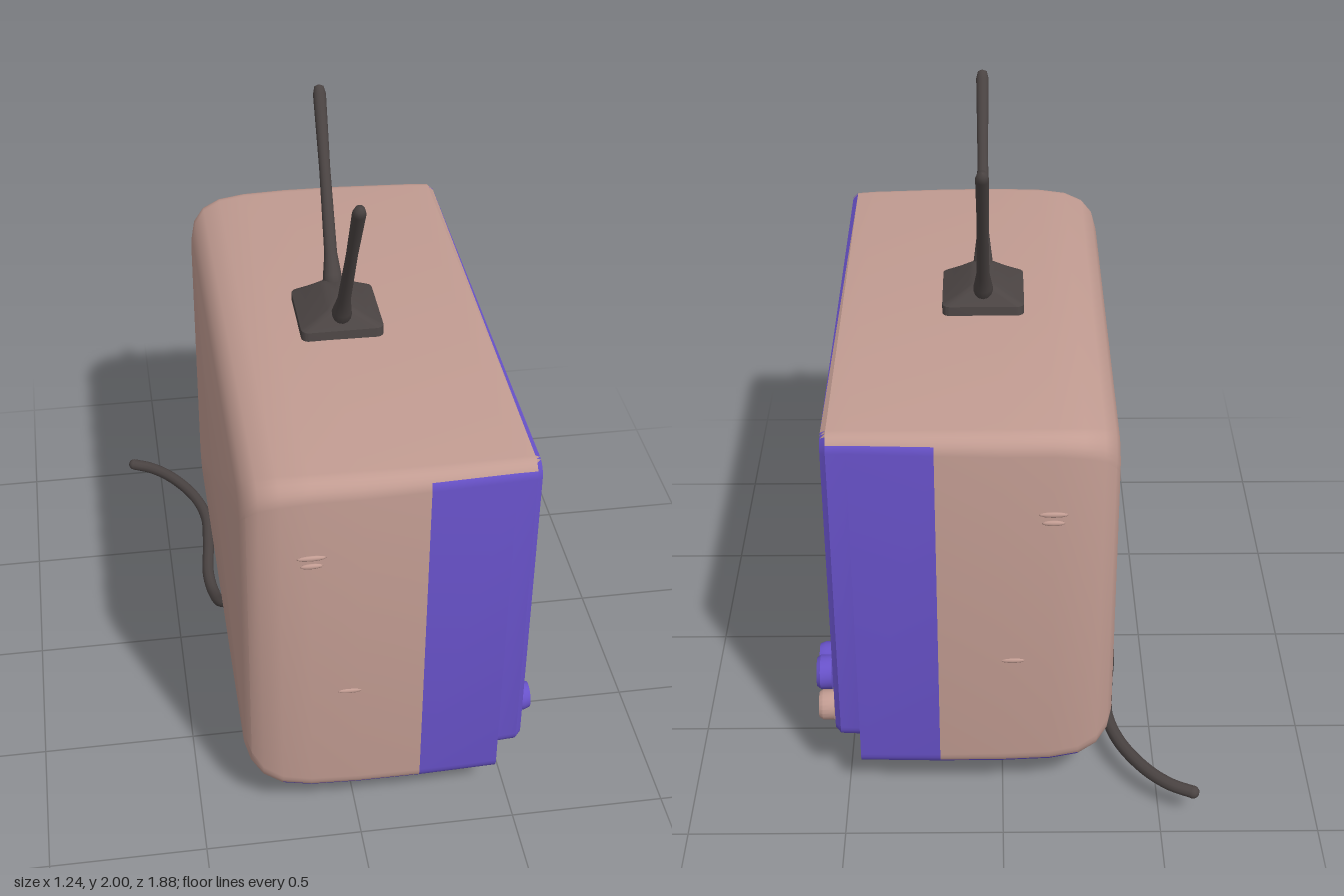
import * as THREE from 'three';
import { toCreasedNormals } from 'three/addons/utils/BufferGeometryUtils.js';

const material = (name, color) => {
  const m = new THREE.MeshStandardMaterial({ color });
  m.name = name;
  return m;
};

// Rounded rectangle in the z-y plane, spanning y0..y1 around z = zc
function roundedRing({ x, hw, y0, y1, r, zc = 0.045 }) {
  const pts = [], n = 6;
  [[1, 1], [-1, 1], [-1, -1], [1, -1]].forEach(([sz, sy], q) => {
    for (let i = 0; i <= n; i++) {
      const t = (q + i / n) * Math.PI / 2;
      pts.push(new THREE.Vector3(x, (sy > 0 ? y1 - r : y0 + r) + r * Math.sin(t),
        zc + sz * (hw - r) + r * Math.cos(t)));
    }
  });
  return pts;
}

// Soft, bulging screen outline
function screenRing(x, hw, hh) {
  const pts = [], n = 72, p = 2 / 6.5;
  for (let i = 0; i < n; i++) {
    const t = i / n * Math.PI * 2, c = Math.cos(t), s = Math.sin(t);
    pts.push(new THREE.Vector3(x, 0.785 + hh * Math.sign(s) * Math.abs(s) ** p,
      0.155 + hw * Math.sign(c) * Math.abs(c) ** p));
  }
  return pts;
}

// Skin a list of rings running towards +x; pick() chooses a material per face
function loft(rings, crease, pick = () => 0) {
  const lists = [[], []], count = rings[0].length, nrm = new THREE.Vector3();
  for (let i = 0; i < rings.length - 1; i++) {
    for (let j = 0; j < count; j++) {
      const k = (j + 1) % count;
      const a = rings[i][j], b = rings[i][k], c = rings[i + 1][k], d = rings[i + 1][j];
      for (const tri of [[a, d, c], [a, c, b]]) {
        new THREE.Triangle(...tri).getNormal(nrm);
        if (nrm.lengthSq() < 0.5) continue;
        const cx = (tri[0].x + tri[1].x + tri[2].x) / 3;
        tri.forEach(v => lists[pick(cx, nrm)].push(v.x, v.y, v.z));
      }
    }
  }
  const g = new THREE.BufferGeometry();
  g.setAttribute('position', new THREE.Float32BufferAttribute(lists[0].concat(lists[1]), 3));
  g.addGroup(0, lists[0].length / 3, 0);
  if (lists[1].length) g.addGroup(lists[0].length / 3, lists[1].length / 3, 1);
  return toCreasedNormals(g, crease);
}

export function createModel() {
  const pink = material('dusty pink', 0xc29c92);
  const purple = material('violet', 0x6852c9);
  const dark = material('charcoal', 0x4b4443);
  const glass = material('screen grey', 0x4a4341);
  const mauve = material('mauve', 0x75619f);

  const model = new THREE.Group();
  const add = (name, geo, mat, x = 0, y = 0, z = 0, parent = model) => {
    const m = new THREE.Mesh(geo, mat);
    m.name = name;
    m.position.set(x, y, z);
    parent.add(m);
    return m;
  };

  // Cabinet: x, half width, bottom, top, corner radius; ends in the recessed front panel
  const sections = [
    [-0.362, 0, 0.77, 0.77, 0], [-0.35, 0.78, 0.23, 1.27, 0.08], [-0.335, 0.825, 0.2, 1.315, 0.08],
    [-0.3, 0.852, 0.165, 1.345, 0.07], [-0.24, 0.872, 0.14, 1.363, 0.065], [-0.15, 0.88, 0.13, 1.37, 0.06],
    [0, 0.885, 0.127, 1.372, 0.06], [0.2, 0.881, 0.125, 1.37, 0.055], [0.455, 0.868, 0.122, 1.366, 0.05],
    [0.455, 0.868, 0.232, 1.366, 0.05], [0.515, 0.864, 0.232, 1.363, 0.05], [0.532, 0.85, 0.245, 1.35, 0.045],
    [0.535, 0.81, 0.268, 1.318, 0.045], [0.512, 0.785, 0.29, 1.29, 0.04], [0.512, 0, 0.77, 0.77, 0],
  ].map(([x, hw, y0, y1, r]) => roundedRing({ x, hw, y0, y1, r }));
  const paint = (x, n) => {
    if (n.y < -0.6) return 1;
    if (n.y > 0.6 && x < 0.522) return 0;
    return x > 0.2 ? 1 : 0;
  };
  add('cabinet', loft(sections, 0.6, paint), [pink, purple]);
  add('lowerStripPanel', new THREE.BoxGeometry(0.006, 0.06, 0.52), mauve, 0.456, 0.165, -0.42);

  // Dark surround and domed screen
  add('screenSurround', loft([
    screenRing(0.5, 0.64, 0.48), screenRing(0.522, 0.635, 0.475),
    screenRing(0.526, 0.62, 0.462), screenRing(0.508, 0.59, 0.438),
  ], 0.5), dark);
  const dome = [1.01, 0.95, 0.85, 0.7, 0.5, 0.25, 0].map(s => screenRing(0.577 - 0.07 * s * s, 0.595 * s, 0.442 * s));
  add('screen', loft(dome, 0.8), glass);

  // Speaker grille: slats in two banks, narrower near the control knob
  const grille = new THREE.Group();
  grille.name = 'speakerGrille';
  model.add(grille);
  for (let i = 0; i < 29; i++) {
    const y = 0.34 + i * 0.0335;
    const low = y < 0.45;
    add('slat', new THREE.BoxGeometry(0.018, 0.019, low ? 0.055 : 0.19), purple,
      0.517, y, low ? -0.762 : -0.692, grille);
  }

  // Knobs on the front, turned to face +x
  const knob = (name, y, z, x0, x1, r, mat) => {
    const len = x1 - x0;
    const profile = [[0, 0], [r * 0.55, 0], [r * 0.6, len * 0.45], [r, len * 0.5],
      [r, len * 0.88], [r * 0.85, len], [0, len]].map(p => new THREE.Vector2(...p));
    const g = toCreasedNormals(new THREE.LatheGeometry(profile, 20), 0.6);
    add(name, g, mat, x0, y, z).rotation.z = -Math.PI / 2;
  };
  knob('leftKnob', 0.205, 0.665, 0.45, 0.617, 0.05, purple);
  knob('middleKnob', 0.205, -0.365, 0.45, 0.617, 0.05, purple);
  knob('grilleKnob', 0.37, -0.65, 0.5, 0.597, 0.055, purple);
  knob('pinkKnob', 0.208, -0.62, 0.5, 0.6, 0.05, pink);
  const stem = new THREE.CylinderGeometry(0.034, 0.034, 0.09, 16);
  add('pinkKnobStem', stem, dark, 0.495, 0.208, -0.62).rotation.z = Math.PI / 2;

  // Tapered feet
  for (const x of [-0.175, 0.36]) {
    for (const z of [0.665, -0.565]) {
      const profile = [[0, 0], [0.05, 0], [0.057, 0.01], [0.074, 0.12], [0.074, 0.15]]
        .map(p => new THREE.Vector2(...p));
      add('foot', toCreasedNormals(new THREE.LatheGeometry(profile, 20), 0.9), dark, x, 0, z);
    }
  }

  // Antenna base: a frustum with a slightly rounded plan, turned upright
  const ring = (h, hx, hz) => roundedRing({ x: h, hw: hz, y0: -hx, y1: hx, r: Math.min(hx, 0.025), zc: 0 });
  const base = loft([
    ring(0, 0.132, 0.14), ring(0.035, 0.132, 0.135), ring(0.06, 0.085, 0.115),
    ring(0.085, 0.045, 0.098), ring(0.092, 0.03, 0.085),
    ring(0.092, 0.03, 0.085).map(p => new THREE.Vector3(p.x, 0, 0)),
  ], 0.5);
  base.rotateZ(Math.PI / 2);
  add('antennaBase', base, dark, 0.057, 1.365, 0.05);

  // Antenna rods, flared at the root
  const rod = (name, z0, z1, top) => {
    const from = new THREE.Vector3(0.057, 1.41, z0), to = new THREE.Vector3(0.057, top, z1);
    const dir = to.clone().sub(from), len = dir.length();
    const profile = [[0, 0], [0.038, 0], [0.03, 0.06], [0.021, 0.13], [0.018, len * 0.6],
      [0.021, len - 0.03], [0.015, len - 0.006], [0, len]].map(p => new THREE.Vector2(...p));
    const m = add(name, new THREE.LatheGeometry(profile, 14), dark, from.x, from.y, from.z);
    m.quaternion.setFromUnitVectors(new THREE.Vector3(0, 1, 0), dir.normalize());
  };
  rod('leftRod', 0.128, 0.46, 1.995);
  rod('rightRod', -0.024, -0.36, 1.99);

  // Power cord trailing from under the back
  const path = new THREE.CatmullRomCurve3([
    [-0.29, 0.19, 0.03], [-0.345, 0.145, -0.01], [-0.365, 0.11, -0.1], [-0.375, 0.102, -0.22],
    [-0.358, 0.1, -0.4], [-0.352, 0.1, -0.56], [-0.39, 0.1, -0.7], [-0.47, 0.1, -0.83],
    [-0.54, 0.1, -0.895], [-0.605, 0.1, -0.928],
  ].map(p => new THREE.Vector3(...p)));
  add('powerCord', new THREE.TubeGeometry(path, 60, 0.021, 10), dark);
  add('cordEnd', new THREE.SphereGeometry(0.021, 10, 8), dark, -0.605, 0.1, -0.928);

  // Small pressed ridges on both sides
  for (const side of [1, -1]) {
    for (const [x, y, w] of [[-0.15, 1.11, 0.09], [-0.15, 1.08, 0.07], [-0.03, 0.565, 0.08]]) {
      const g = new THREE.SphereGeometry(1, 12, 8);
      g.scale(w / 2, 0.009, 0.007);
      add('sideRidge', g, pink, x, y, 0.045 + side * 0.882);
    }
  }

  return model;
}
